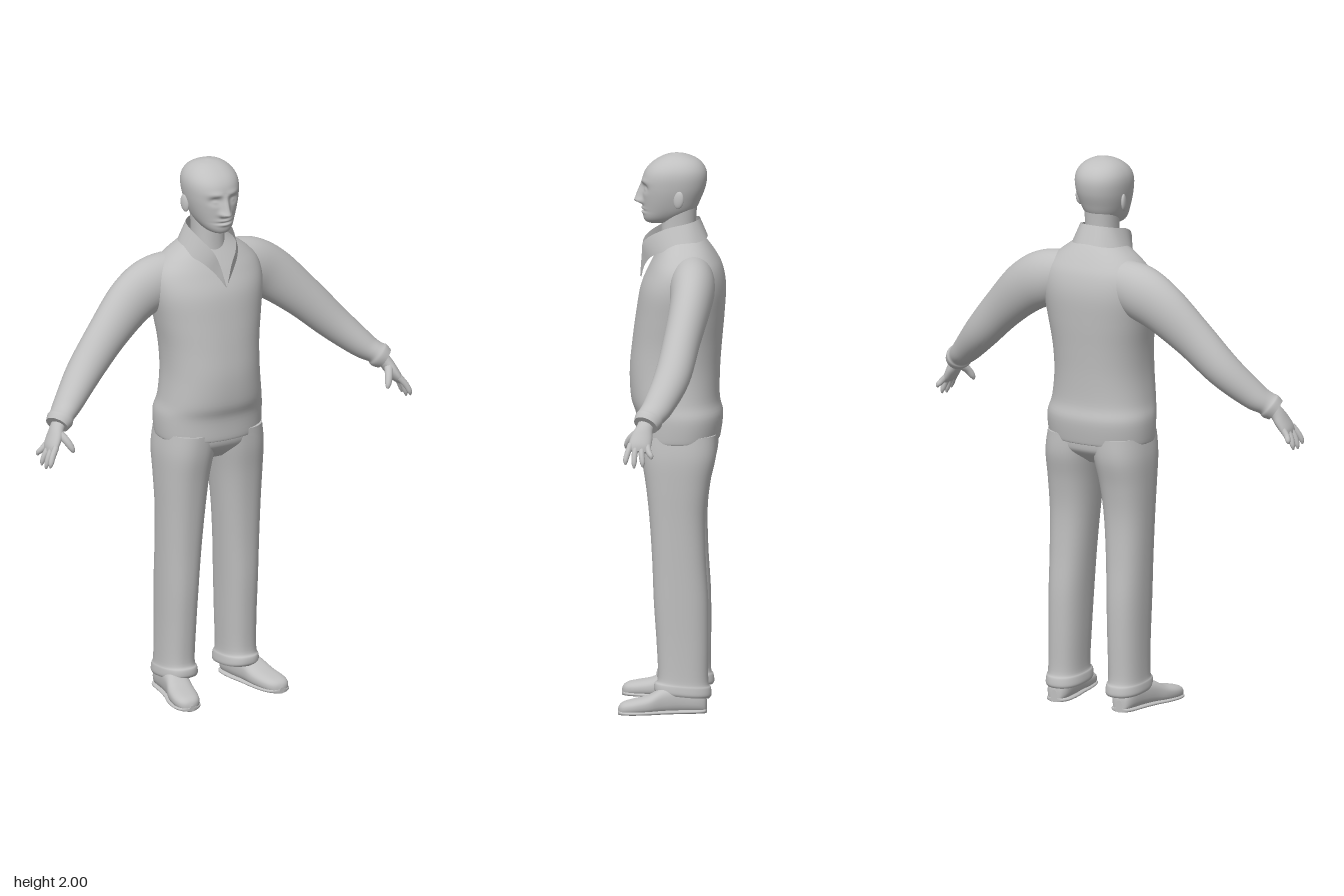
import * as THREE from 'three';

const grey = new THREE.MeshStandardMaterial({ color: 0xc0c0c0 });
grey.name = 'plain grey';
const greyOpen = grey.clone();
greyOpen.side = THREE.DoubleSide;

// Catmull-Rom resampling of rows of numbers, k steps per span
function resample(rows, k) {
  const out = [], n = rows.length;
  const at = i => rows[Math.min(n - 1, Math.max(0, i))];
  for (let i = 0; i < n - 1; i++) for (let s = 0; s < k; s++) {
    const t = s / k;
    out.push(rows[i].map((b, c) => {
      const a = at(i - 1)[c], d = at(i + 1)[c], e = at(i + 2)[c];
      return b + 0.5 * t * (d - a + t * (2 * a - 5 * b + 4 * d - e + t * (3 * (b - d) + e - a)));
    }));
  }
  out.push(rows[n - 1]);
  return out;
}

// Superelliptic unit outline
function outline(seg, n) {
  const p = v => Math.sign(v) * Math.pow(Math.abs(v), 2 / n);
  return Array.from({ length: seg }, (_, j) => {
    const t = j / seg * Math.PI * 2;
    return [p(Math.cos(t)), p(Math.sin(t))];
  });
}

// Closed skin over rings of points, with flat caps
function skin(rings) {
  const m = rings[0].length, pos = [], idx = [];
  rings.forEach(r => r.forEach(v => pos.push(v.x, v.y, v.z)));
  for (let i = 0; i < rings.length - 1; i++) for (let j = 0; j < m; j++) {
    const a = i * m + j, b = i * m + (j + 1) % m;
    idx.push(a, b, a + m, b, b + m, a + m);
  }
  [rings[0], rings[rings.length - 1]].forEach((r, e) => {
    const o = pos.length / 3, c = new THREE.Vector3();
    r.forEach(v => { pos.push(v.x, v.y, v.z); c.addScaledVector(v, 1 / m); });
    pos.push(c.x, c.y, c.z);
    for (let j = 0; j < m; j++) {
      const k = (j + 1) % m;
      idx.push(o + m, o + (e ? j : k), o + (e ? k : j));
    }
  });
  return finish(pos, idx);
}

function finish(pos, idx) {
  const g = new THREE.BufferGeometry();
  g.setAttribute('position', new THREE.Float32BufferAttribute(pos, 3));
  g.setIndex(idx);
  g.computeVertexNormals();
  return g;
}

// Upright form: rows of [y, xMin, xMax, zFront, zBack]; rule may move points
function upright(rows, { n = 2.2, seg = 48, k = 5, rule } = {}) {
  const o = outline(seg, n);
  return skin(resample(rows, k).map(([y, x0, x1, zf, zb]) => o.map(([c, s]) => {
    const v = new THREE.Vector3((x0 + x1) / 2 + c * (x1 - x0) / 2, y, (zf + zb) / 2 - s * (zf - zb) / 2);
    if (rule) rule(v);
    return v;
  })));
}
const centred = rows => rows.map(([y, w, f, b]) => [y, -w, w, f, b]);

// Limb: rows of [x, y, z, thickness radius, depth radius]
function limb(rows, seg = 28, k = 6) {
  const r = resample(rows, k), o = outline(seg, 2);
  const c = r.map(q => new THREE.Vector3(q[0], q[1], q[2]));
  return skin(r.map((q, i) => {
    const T = c[Math.min(i + 1, c.length - 1)].clone().sub(c[Math.max(i - 1, 0)]).normalize();
    const U = new THREE.Vector3(0, 0, 1).cross(T).normalize();
    const W = T.clone().cross(U);
    return o.map(([a, b]) => c[i].clone().addScaledVector(U, a * q[3]).addScaledVector(W, b * q[4]));
  }));
}

function mirrored(g) {
  const m = g.clone().scale(-1, 1, 1), a = m.index.array;
  for (let i = 0; i < a.length; i += 3) [a[i], a[i + 1]] = [a[i + 1], a[i]];
  m.computeVertexNormals();
  return m;
}

const bump = (d, w) => Math.exp(-(d * d) / (w * w));

// Brow, eyes, nose, lips and chin pushed out of the front of the head
function face(v) {
  if (v.z < 0.03) return;
  const { x, y } = v, ax = Math.abs(x);
  const bridge = y > 1.828 ? Math.max(0, 1 - (y - 1.828) / 0.075) : bump(y - 1.828, 0.009);
  v.z += 0.032 * bridge * bump(x, 0.012 + 0.006 * bump(y - 1.828, 0.02));
  v.z += 0.007 * bump(ax - 0.016, 0.008) * bump(y - 1.826, 0.009);
  v.z -= 0.013 * bump(ax - 0.036, 0.02) * bump(y - 1.878, 0.014);
  v.z += 0.007 * bump(ax - 0.036, 0.012) * bump(y - 1.875, 0.008);
  v.z += 0.005 * bump(ax - 0.032, 0.028) * bump(y - 1.902, 0.01);
  v.z += 0.007 * bump(x, 0.026) * (bump(y - 1.802, 0.006) + bump(y - 1.787, 0.006));
  v.z -= 0.005 * bump(x, 0.03) * bump(y - 1.7945, 0.003);
}

export function createModel() {
  const model = new THREE.Group();
  const add = (name, g, mat = grey) => {
    const m = new THREE.Mesh(g, mat);
    m.name = name;
    model.add(m);
  };
  const pair = (name, g) => { add('left' + name, g); add('right' + name, mirrored(g)); };

  // Head and neck
  add('head', upright(centred([
    [1.748, 0.02, 0.085, 0.03], [1.755, 0.038, 0.1, -0.01], [1.772, 0.055, 0.107, -0.045],
    [1.80, 0.071, 0.107, -0.08], [1.84, 0.085, 0.109, -0.1], [1.88, 0.094, 0.111, -0.115],
    [1.92, 0.097, 0.107, -0.12], [1.95, 0.09, 0.091, -0.112], [1.975, 0.071, 0.062, -0.09],
    [1.992, 0.042, 0.028, -0.054], [2.0, 0.006, -0.006, -0.018]]), { seg: 120, k: 9, rule: face }));
  add('neck', upright(centred([[1.58, 0.07, 0.055, -0.08], [1.66, 0.06, 0.045, -0.08],
    [1.74, 0.058, 0.042, -0.08], [1.82, 0.062, 0.04, -0.085]])));
  const ear = new THREE.SphereGeometry(1, 16, 12);
  ear.scale(0.009, 0.032, 0.019).rotateX(-0.15).rotateY(-0.3).translate(0.092, 1.845, -0.022);
  pair('Ear', ear);

  // Jumper body
  add('jumperBody', upright(centred([
    [0.975, 0.19, 0.122, -0.162], [0.985, 0.197, 0.128, -0.168], [1.06, 0.2, 0.132, -0.177],
    [1.12, 0.187, 0.15, -0.165], [1.22, 0.177, 0.155, -0.166], [1.32, 0.181, 0.146, -0.173],
    [1.42, 0.197, 0.133, -0.182], [1.52, 0.213, 0.116, -0.187], [1.59, 0.205, 0.087, -0.175],
    [1.64, 0.165, 0.062, -0.15], [1.69, 0.1, 0.035, -0.115], [1.72, 0.065, 0.02, -0.085]]),
  { seg: 64, n: 2.25 }));

  // Standing collar, open in a V at the front: [x, y, z] lower edge then upper edge
  const half = [
    [0, 1.55, 0.114, 0.002, 1.555, 0.118], [0.034, 1.6, 0.1, 0.022, 1.63, 0.112],
    [0.07, 1.64, 0.07, 0.047, 1.69, 0.102], [0.104, 1.665, 0.01, 0.074, 1.735, 0.03],
    [0.1, 1.685, -0.06, 0.07, 1.755, -0.05], [0.055, 1.695, -0.112, 0.042, 1.763, -0.085],
    [0, 1.7, -0.122, 0, 1.765, -0.095]];
  const flip = half.slice(0, -1).reverse().map(([a, b, c, d, e, f]) => [-a, b, c, -d, e, f]);
  const strip = resample([...half, ...flip], 4), cp = [], ci = [];
  strip.forEach((q, i) => {
    cp.push(...q);
    if (i) ci.push(2 * i - 2, 2 * i, 2 * i - 1, 2 * i, 2 * i + 1, 2 * i - 1);
  });
  add('collar', finish(cp, ci), greyOpen);

  // Sleeves with cuffs
  pair('Sleeve', limb([
    [0.08, 1.575, -0.068, 0.08, 0.075], [0.19, 1.545, -0.075, 0.1, 0.08], [0.285, 1.495, -0.07, 0.094, 0.073],
    [0.4, 1.395, -0.045, 0.077, 0.066], [0.51, 1.285, -0.015, 0.064, 0.064], [0.6, 1.2, 0.03, 0.05, 0.055],
    [0.64, 1.17, 0.055, 0.041, 0.049], [0.655, 1.157, 0.064, 0.046, 0.051], [0.672, 1.143, 0.073, 0.04, 0.045]], 36));

  // Hands: palm, thumb and four fingers
  pair('Palm', limb([[0.645, 1.165, 0.06, 0.026, 0.032], [0.672, 1.135, 0.075, 0.024, 0.03],
    [0.69, 1.105, 0.085, 0.022, 0.038], [0.708, 1.075, 0.093, 0.018, 0.04], [0.718, 1.056, 0.096, 0.01, 0.034]]));
  pair('Thumb', limb([[0.678, 1.12, 0.095, 0.016, 0.018], [0.662, 1.095, 0.125, 0.014, 0.014],
    [0.65, 1.07, 0.14, 0.011, 0.011], [0.645, 1.055, 0.144, 0.004, 0.004]], 14));
  const reach = [0.032, 0.004, 0, 0.012];
  reach.forEach((up, i) => {
    const z = 0.065 + i * 0.02, tip = 0.052 + i * 0.03;
    pair('Finger' + (i + 1), limb([[0.706, 1.08, z, 0.012, 0.011],
      [0.726, 1.048 + up * 0.3, (z + tip) / 2 + 0.002, 0.011, 0.0105],
      [0.737, 1.018 + up * 0.8, tip, 0.009, 0.009], [0.74, 1.001 + up, tip, 0.003, 0.003]], 12));
  });

  // Trousers
  add('trouserSeat', upright(centred([[0.89, 0.09, 0.05, -0.08], [0.935, 0.17, 0.1, -0.142],
    [0.97, 0.192, 0.116, -0.156], [1.03, 0.19, 0.115, -0.155]]), { n: 2.5 }));
  pair('TrouserLeg', upright([
    [0.068, 0.058, 0.192, 0.058, -0.136], [0.078, 0.055, 0.196, 0.064, -0.141], [0.1, 0.058, 0.194, 0.062, -0.138],
    [0.125, 0.064, 0.189, 0.05, -0.129], [0.25, 0.06, 0.188, 0.055, -0.13], [0.4, 0.054, 0.19, 0.065, -0.129],
    [0.55, 0.045, 0.192, 0.071, -0.12], [0.7, 0.033, 0.195, 0.081, -0.118], [0.82, 0.02, 0.199, 0.094, -0.133],
    [0.92, 0.003, 0.2, 0.11, -0.155], [1.0, -0.01, 0.19, 0.117, -0.156]],
  { n: 2.35, rule: v => { v.y += 0.13 * v.z * Math.max(0, 1 - v.y / 0.25); } }));

  // Shoes and soles, lofted heel to toe: [z, centre x, half width, top height]
  const shoeRows = [[-0.124, 0.137, 0.012, 0.045], [-0.118, 0.137, 0.03, 0.07], [-0.09, 0.137, 0.043, 0.095],
    [-0.03, 0.143, 0.046, 0.105], [0.03, 0.155, 0.047, 0.095], [0.08, 0.167, 0.052, 0.068],
    [0.13, 0.177, 0.051, 0.056], [0.165, 0.182, 0.042, 0.048], [0.183, 0.184, 0.026, 0.037], [0.19, 0.185, 0.006, 0.022]];
  const ring = outline(32, 2.5);
  const shoe = (grow, height) => skin(resample(shoeRows, 4).map(([z, x, w, h]) => {
    const top = height || h;
    return ring.map(([c, s]) => new THREE.Vector3(x + c * (w + grow), top / 2 + s * top / 2, z));
  }));
  pair('Shoe', shoe(0, 0));
  pair('Sole', shoe(0.004, 0.018));

  return model;
}
